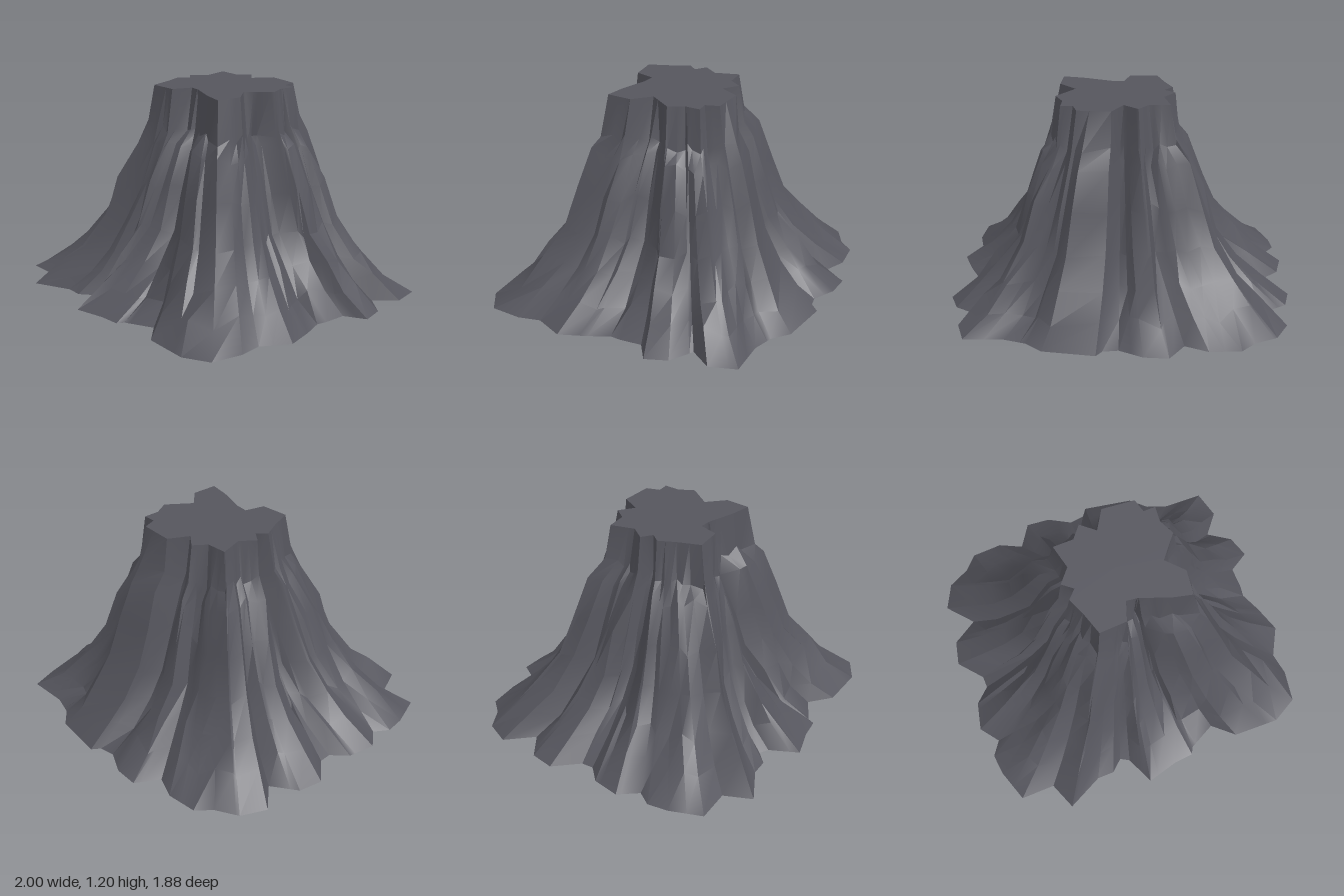
import * as THREE from 'three';
import { toCreasedNormals } from 'three/addons/utils/BufferGeometryUtils.js';

// Outlines as x, z pairs, running from +x towards +z
const FOOT = [
  0.87, 0.05, 0.92, 0.17, 0.97, 0.33, 0.88, 0.49, 0.90, 0.62, 0.87, 0.80, 0.72, 0.88, 0.45, 0.87,
  0.33, 0.76, 0.17, 0.84, 0.15, 0.88, 0.03, 0.89, -0.15, 0.935, -0.22, 0.77, -0.27, 0.74, -0.34, 0.80,
  -0.44, 0.80, -0.65, 0.90, -0.71, 0.74, -0.91, 0.74, -0.97, 0.55, -0.98, 0.43, -0.92, 0.35, -1.0, 0.24,
  -0.96, 0.08, -0.87, 0.0, -0.87, -0.07, -0.985, -0.21, -0.95, -0.35, -0.80, -0.44, -0.925, -0.59,
  -0.85, -0.73, -0.72, -0.79, -0.64, -0.87, -0.46, -0.875, -0.33, -0.81, -0.24, -0.94, -0.10, -0.925,
  0.03, -0.85, 0.12, -0.86, 0.17, -0.925, 0.45, -0.85, 0.54, -0.765, 0.66, -0.72, 0.89, -0.71,
  0.93, -0.55, 0.83, -0.43, 0.96, -0.34, 1.0, -0.21, 0.88, -0.14, 0.88, -0.01,
];
const RIM = [
  0.26, 0.06, 0.35, 0.16, 0.33, 0.31, 0.20, 0.27, 0.05, 0.21, -0.02, 0.20, -0.06, 0.31, -0.22, 0.315,
  -0.26, 0.18, -0.30, 0.08, -0.25, 0.03, -0.31, -0.02, -0.24, -0.10, -0.27, -0.24, -0.15, -0.24,
  -0.09, -0.31, -0.01, -0.24, 0.06, -0.35, 0.25, -0.33, 0.27, -0.25, 0.34, -0.25, 0.33, -0.16, 0.37, -0.07,
];
// Slope: height, and how far the outline has spread from rim to foot
const SLOPE = [[0, 1], [0.12, 0.76], [0.25, 0.57], [0.42, 0.39], [0.65, 0.27], [0.87, 0.14], [0.97, 0.06], [1.195, 0]];
// Buttresses and gullies: angle, half width, top height, push outwards (degrees, units)
const FEATURES = [
  [61, 13, 0.9, 0.06], [-66, 14, 1.0, 0.06], [-25, 10, 0.9, 0.03], [-140, 12, 0.9, 0.03],
  [135, 16, 0.7, 0.03], [82, 6, 1.1, -0.07], [-88, 6, 1.1, -0.05], [178, 7, 1.0, -0.07],
  [3, 7, 1.0, -0.05], [-115, 6, 0.9, -0.04],
];
const TAU = Math.PI * 2;

function seeded(seed) {
  return () => {
    seed = (seed * 16807) % 2147483647;
    return seed / 2147483647 - 0.5;
  };
}

function anglesOf(outline) {
  const list = [];
  for (let i = 0; i < outline.length; i += 2) list.push((Math.atan2(outline[i + 1], outline[i]) + TAU) % TAU);
  return list;
}

// Distance from the centre to an outline along one direction
function reach(outline, angle) {
  const dx = Math.cos(angle), dz = Math.sin(angle), n = outline.length;
  let best = 0;
  for (let i = 0; i < n; i += 2) {
    const ax = outline[i], az = outline[i + 1];
    const ex = outline[(i + 2) % n] - ax, ez = outline[(i + 3) % n] - az;
    const d = dx * ez - dz * ex;
    if (Math.abs(d) < 1e-9) continue;
    const r = (ax * ez - az * ex) / d, s = (ax * dz - az * dx) / d;
    if (r > 0 && s > -1e-6 && s < 1 + 1e-6) best = Math.max(best, r);
  }
  return best;
}

function featurePush(angle, y) {
  let push = 0;
  for (const [deg, width, top, amount] of FEATURES) {
    const off = Math.abs(((angle * 180 / Math.PI - deg + 540) % 360) - 180);
    if (off < width && y < top) push += amount * Math.min(1, 1.6 * (1 - off / width)) * Math.min(1, y / 0.3);
  }
  return push;
}

function geometryFrom(positions, index) {
  const g = new THREE.BufferGeometry();
  g.setAttribute('position', new THREE.Float32BufferAttribute(positions, 3));
  g.setIndex(index);
  return toCreasedNormals(g, 0.45);
}

export function createModel() {
  const group = new THREE.Group();
  group.name = 'rockMesa';
  const rock = new THREE.MeshStandardMaterial({ color: 0x55555d, side: THREE.DoubleSide });
  rock.name = 'dark grey rock';
  const rand = seeded(77);

  // One column for every corner of either outline
  const angles = [...anglesOf(FOOT), ...anglesOf(RIM)].sort((a, b) => a - b)
    .filter((a, i, all) => i === 0 || a - all[i - 1] > 0.012);
  const n = angles.length;

  // Cliff walls, open underneath
  const wall = [], wallIndex = [], rim = [];
  SLOPE.forEach(([height, spread], level) => {
    const inner = level > 0 && level < SLOPE.length - 1;
    angles.forEach((angle, i) => {
      const top = reach(RIM, angle), foot = reach(FOOT, angle);
      const y = height + (inner ? rand() * 0.06 : 0);
      let r = top + (foot - top) * spread;
      if (inner) r += featurePush(angle, height) + rand() * 0.025;
      const point = [r * Math.cos(angle), y, r * Math.sin(angle)];
      wall.push(...point);
      if (level === SLOPE.length - 1) rim.push(...point);
      if (level > 0) {
        const j = (i + 1) % n, lo = (level - 1) * n, hi = level * n;
        wallIndex.push(lo + i, hi + i, lo + j, lo + j, hi + i, hi + j);
      }
    });
  });
  const walls = new THREE.Mesh(geometryFrom(wall, wallIndex), rock);
  walls.name = 'cliffWalls';
  group.add(walls);

  // Flat summit
  const capIndex = [];
  for (let i = 0; i < n; i++) capIndex.push(n, (i + 1) % n, i);
  const summit = new THREE.Mesh(geometryFrom([...rim, 0, 1.195, 0], capIndex), rock);
  summit.name = 'summit';
  group.add(summit);

  return group;
}
